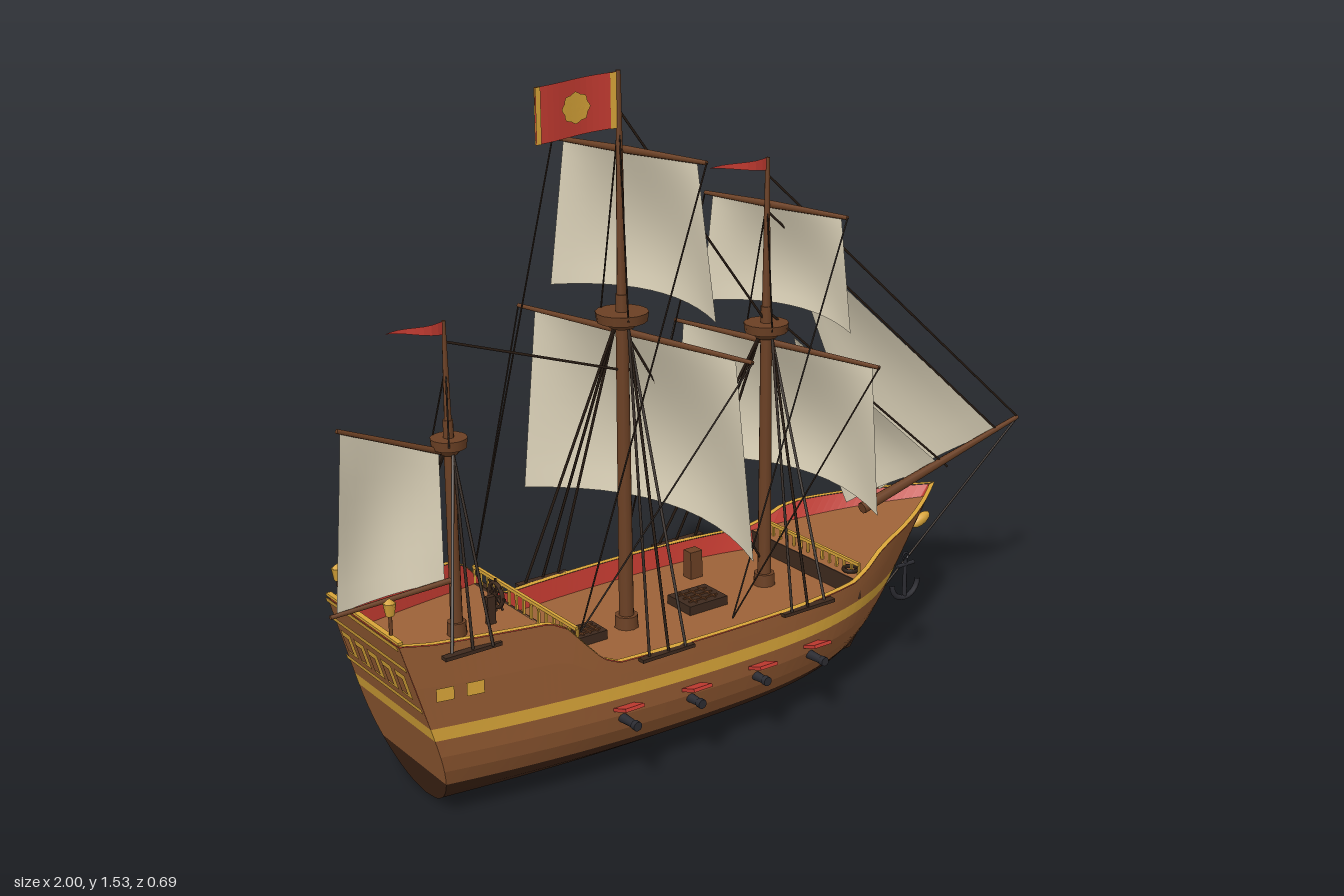
import * as THREE from 'three';

const M = (name, color, side = THREE.FrontSide) => {
  const m = new THREE.MeshStandardMaterial({ color, side });
  m.name = name;
  return m;
};
const V = (x, y, z) => new THREE.Vector3(x, y, z);
const lerp = THREE.MathUtils.lerp;

export function createModel() {
  const ship = new THREE.Group();
  ship.name = 'sailingShip';
  const hullWood = M('hull wood', 0x935a32), keelWood = M('keel wood', 0x3f2415), deckWood = M('deck wood', 0x9c6238),
    gold = M('gold', 0xd6a338, THREE.DoubleSide), red = M('red', 0xc43b31, THREE.DoubleSide),
    canvas = M('canvas', 0xe1d7bd, THREE.DoubleSide), spar = M('spar wood', 0x6b4024),
    darkWood = M('dark wood', 0x3d291d), ropeMat = M('rope', 0x2a1d14), iron = M('iron', 0x2b2b31);

  const add = (name, geo, mat, x = 0, y = 0, z = 0, parent = ship) => {
    const m = new THREE.Mesh(geo, mat);
    m.name = name;
    m.position.set(x, y, z);
    parent.add(m);
    return m;
  };
  const box = (name, w, h, d, mat, x, y, z) => add(name, new THREE.BoxGeometry(w, h, d), mat, x, y, z);
  // Sheet swept by f(u, v): faceted planking, smooth canvas
  const surf = (name, f, nu, nv, mat, flip = false, parent = ship) => {
    const pos = [], idx = [];
    for (let j = 0; j <= nv; j++) for (let i = 0; i <= nu; i++) pos.push(...f(i / nu, j / nv));
    for (let j = 0; j < nv; j++) for (let i = 0; i < nu; i++) {
      const a = j * (nu + 1) + i, b = a + 1, d = a + nu + 1, c = d + 1;
      flip ? idx.push(a, c, b, a, d, c) : idx.push(a, b, c, a, c, d);
    }
    let g = new THREE.BufferGeometry();
    g.setAttribute('position', new THREE.Float32BufferAttribute(pos, 3));
    g.setIndex(idx);
    if (mat !== canvas) g = g.toNonIndexed();
    g.computeVertexNormals();
    return add(name, g, mat, 0, 0, 0, parent);
  };
  // Tapered round bar between two points
  const bar = (name, a, b, r0, r1, mat, sides = 8, parent = ship) => {
    const d = b.clone().sub(a);
    const m = add(name, new THREE.CylinderGeometry(r1, r0, d.length(), sides), mat, 0, 0, 0, parent);
    m.position.copy(a).add(b).multiplyScalar(0.5);
    m.quaternion.setFromUnitVectors(V(0, 1, 0), d.normalize());
    return m;
  };
  const rope = (a, b, r = 0.0028) => bar('rope', a, b, r, r, ropeMat, 5);

  // ---- Hull lines
  const stern = y => -0.8 - 0.29 * y, bow = y => 0.43 + 0.715 * y;
  const sheer = [[-1, 0.455], [-0.86, 0.435], [-0.6, 0.425], [-0.56, 0.405], [-0.52, 0.36], [-0.48, 0.317], [-0.44, 0.3],
    [0.25, 0.3], [0.3, 0.317], [0.35, 0.345], [0.4, 0.358], [0.75, 0.39]];
  const top = x => {
    const k = Math.max(1, sheer.findIndex(p => p[0] >= x)), [a, b] = [sheer[k - 1], sheer[k]];
    return lerp(a[1], b[1], (x - a[0]) / (b[0] - a[0]));
  };
  const beam = u => u < 0.5 ? 0.255 - 0.085 * ((0.5 - u) / 0.5) ** 2 : 0.255 * (1 - ((u - 0.5) / 0.5) ** 2.8);
  const section = y => y < 0.2 ? Math.sqrt(1 - ((0.2 - y) / 0.2) ** 2) : 1 - (y - 0.2) ** 2;
  const xAt = (u, y) => lerp(stern(y), bow(y), u);
  const width = (x, y) => beam(Math.min(1, Math.max(0, (x - stern(y)) / (bow(y) - stern(y))))) * section(y);
  const topAt = u => { let y = 0.35; for (let i = 0; i < 6; i++) y = top(xAt(u, y)); return y; };
  const shell = (u, y, s, inset = 0) => [xAt(u, y), y, s * Math.max(0, beam(u) * section(y) - inset)];

  // ---- Hull planking in colour bands, inner bulwark, cap rail
  const bands = [['bottom', 0, 0.09, keelWood, 5], ['lowerSide', 0.09, 0.215, hullWood, 3], ['stripe', 0.215, 0.245, gold, 1]];
  for (const s of [1, -1]) {
    for (const [n, y0, y1, mat, rows] of bands)
      surf(n, (u, v) => shell(u, y0 + (y1 - y0) * (n === 'bottom' ? v * v : v), s), 48, rows, mat, s < 0);
    surf('upperSide', (u, v) => shell(u, lerp(0.245, topAt(u), v), s), 96, 2, hullWood, s < 0);
    surf('innerBulwark', (u, v) => shell(u, lerp(0.245, topAt(u), v), s, lerp(0.02, 0.01, v)), 96, 1, red, s > 0);
    surf('capRail', (u, v) => { const p = shell(u, topAt(u), s, v * 0.014 - 0.001); p[1] += 0.002; return p; }, 96, 1, gold);
  }
  // ---- Transom, stern windows and trim
  const transom = (name, y0, y1, mat, out = 0, z0 = -1, z1 = 1, rows = 1) => surf(name, (u, v) => {
    const y = lerp(y0, y1, v), w = beam(0) * section(y), full = z0 === -1;
    return [stern(y) - out, y, full ? lerp(-w, w, u) : lerp(z0, z1, u)];
  }, 2, rows, mat);
  for (const [n, y0, y1, mat, rows] of bands) transom(n + 'Stern', y0, y1, mat, 0, -1, 1, rows * 2);
  transom('transom', 0.245, topAt(0), hullWood);
  transom('innerTransom', 0.355, topAt(0), red, -0.01);
  for (const y of [0.285, 0.385, 0.435]) transom('sternTrim', y, y + 0.012, gold, 0.004);
  for (let i = -2; i <= 2; i++) {
    transom('sternWindowFrame', 0.31, 0.37, gold, 0.004, i * 0.06 - 0.023, i * 0.06 + 0.023);
    transom('sternWindowPane', 0.32, 0.36, hullWood, 0.007, i * 0.06 - 0.014, i * 0.06 + 0.014);
  }
  box('sternRail', 0.012, 0.006, 0.32, gold, -0.925, 0.452, 0);

  // ---- Decks, bulkheads, railings, stairs
  for (const [n, x0, x1, y0, y1] of [['quarterDeck', -0.9, -0.535, 0.355, 0.355], ['mainDeck', -0.535, 0.27, 0.25, 0.25],
    ['foreDeck', 0.27, 0.67, 0.295, 0.355]])
    surf(n, (u, v) => {
      const x = lerp(x0, x1, u), y = lerp(y0, y1, u);
      return [x, y, (1 - 2 * v) * Math.max(0, width(x, y) - 0.006)];
    }, 24, 1, deckWood);
  box('quarterBulkhead', 0.008, 0.105, 0.44, darkWood, -0.535, 0.3025, 0);
  box('foreBulkhead', 0.008, 0.045, 0.42, darkWood, 0.27, 0.2725, 0);
  for (const [x, y, w, h] of [[-0.535, 0.355, 0.215, 0.042], [0.285, 0.295, 0.19, 0.032]]) {
    box('railTop', 0.008, 0.008, 2 * w, gold, x, y + h, 0);
    for (let i = 0; i <= 14; i++) box('railPost', 0.005, h, 0.006, gold, x, y + h / 2, lerp(-w, w, i / 14));
  }
  for (const s of [1, -1]) for (let i = 0; i < 5; i++)
    box('stair', 0.014, 0.021 * (5 - i), 0.045, darkWood, -0.523 + i * 0.014, 0.25 + 0.0105 * (5 - i), s * 0.185);

  // ---- Details on both sides
  for (const s of [1, -1]) {
    for (const x of [-0.84, -0.775]) surf('quarterWindow', (u, v) => {
      const px = x + (u - 0.5) * 0.038, y = 0.308 + v * 0.03;
      return [px, y, s * (width(px, y) + 0.004)];
    }, 2, 1, gold);
    for (const x of [-0.435, -0.26, -0.075, 0.095]) {
      const w = width(x, 0.17);
      bar('cannon', V(x, 0.165, s * (w - 0.02)), V(x, 0.167, s * 0.293), 0.012, 0.008, iron, 10);
      bar('cannonMuzzle', V(x, 0.167, s * 0.281), V(x, 0.167, s * 0.294), 0.011, 0.011, iron, 10);
      box('gunPortLid', 0.05, 0.008, 0.05, red, x, 0.2, s * (w + 0.023)).rotation.x = -s * 0.35;
    }
    // Anchor
    const anchor = new THREE.Group();
    anchor.name = 'anchor';
    anchor.position.set(0.458, 0.243, s * 0.166);
    ship.add(anchor);
    bar('anchorShank', V(0, -0.055, 0), V(0, 0.05, 0), 0.006, 0.005, iron, 6, anchor);
    bar('anchorStock', V(-0.028, 0.034, 0), V(0.028, 0.034, 0), 0.005, 0.005, iron, 6, anchor);
    add('anchorArms', new THREE.TorusGeometry(0.042, 0.007, 6, 12, Math.PI), iron, 0, -0.012, 0, anchor).rotation.z = Math.PI;
    add('anchorRing', new THREE.TorusGeometry(0.009, 0.003, 5, 10), iron, 0, 0.056, 0, anchor);
    // Stern lantern
    bar('lanternPost', V(-0.922, 0.44, s * 0.115), V(-0.922, 0.5, s * 0.115), 0.004, 0.004, spar, 6);
    add('lantern', new THREE.CylinderGeometry(0.014, 0.009, 0.028, 6), gold, -0.922, 0.512, s * 0.115);
    add('lanternCap', new THREE.ConeGeometry(0.014, 0.012, 6), gold, -0.922, 0.531, s * 0.115);
  }
  const figure = add('figurehead', new THREE.SphereGeometry(0.018, 10, 8), gold, 0.662, 0.294, 0);
  figure.scale.set(1.8, 0.85, 0.75);
  figure.rotation.z = 0.4;

  // ---- Deck furniture
  for (const [x, w, d] of [[-0.375, 0.08, 0.065], [-0.055, 0.11, 0.09]]) {
    box('hatch', w, 0.022, d, darkWood, x, 0.261, 0);
    for (let i = 1; i < 4; i++) {
      box('hatchGrate', 0.004, 0.003, d * 0.75, spar, x - w / 2 + w * i / 4, 0.2735, 0);
      box('hatchGrate', w * 0.75, 0.003, 0.004, spar, x, 0.2735, -d / 2 + d * i / 4);
    }
  }
  add('capstan', new THREE.CylinderGeometry(0.026, 0.02, 0.05, 10), spar, -0.478, 0.275, 0);
  for (const z of [-0.115, -0.085]) add('barrel', new THREE.CylinderGeometry(0.015, 0.015, 0.04, 10), spar, -0.495, 0.27, z);
  add('ropeCoil', new THREE.TorusGeometry(0.018, 0.005, 6, 14), ropeMat, 0.29, 0.304, 0.155).rotation.x = Math.PI / 2;
  box('bittBlock', 0.035, 0.07, 0.03, spar, 0.035, 0.285, -0.14);
  const wheel = add('steeringWheel', new THREE.TorusGeometry(0.028, 0.005, 6, 16), darkWood, -0.605, 0.42, 0);
  wheel.rotation.y = Math.PI / 2;
  for (let i = 0; i < 4; i++)
    add('wheelSpoke', new THREE.BoxGeometry(0.004, 0.078, 0.004), darkWood, 0, 0, 0, wheel).rotation.z = i * Math.PI / 4;
  box('wheelStand', 0.02, 0.065, 0.012, darkWood, -0.62, 0.388, 0);

  // ---- Masts with lookout tops, shrouds and channels
  const mast = (x, y0, y1, nest, r, nr, feet, footY) => {
    bar('lowerMast', V(x, y0, 0), V(x, nest + 0.05, 0), r, r * 0.8, spar, 10);
    bar('upperMast', V(x, nest, 0), V(x, y1, 0), r * 0.65, r * 0.3, spar, 8);
    add('mastCollar', new THREE.CylinderGeometry(r * 1.5, r * 1.6, 0.03, 10), spar, x, y0 + 0.015, 0);
    add('lookoutBase', new THREE.CylinderGeometry(nr * 0.75, nr * 0.45, 0.016, 14), spar, x, nest - 0.018, 0);
    add('lookoutTop', new THREE.CylinderGeometry(nr, nr * 0.95, 0.022, 14), spar, x, nest, 0);
    for (const s of [1, -1]) {
      for (const fx of feet) rope(V(x, nest - 0.02, s * nr * 0.4), V(fx, footY, s * (width(fx, footY) + 0.011)), 0.0035);
      rope(V(x, y1 - 0.1, 0), V(x - 0.02, nest, s * nr * 0.9), 0.002);
      const cx = (feet[0] + feet[2]) / 2;
      box('channel', feet[2] - feet[0] + 0.045, 0.008, 0.018, darkWood, cx, footY, s * (width(cx, footY) + 0.008));
    }
  };
  mast(-0.26, 0.25, 1.535, 0.995, 0.018, 0.06, [-0.375, -0.325, -0.28], 0.298);
  mast(0.147, 0.25, 1.3, 0.9, 0.017, 0.053, [0.02, 0.07, 0.125], 0.298);
  mast(-0.705, 0.355, 1.06, 0.795, 0.014, 0.04, [-0.825, -0.78, -0.735], 0.41);

  // ---- Braced yards with square sails; [mast x, yard y, foot y, yard, head and foot half widths, belly, brace foot]
  const brace = 0.215;
  for (const [x, y, yb, hy, ht, hb, belly, bx, by] of [
    [-0.24, 0.953, 0.5, 0.353, 0.303, 0.355, 0.118, -0.53, 0.39], [-0.24, 1.362, 1.02, 0.226, 0.197, 0.248, 0.072, -0.53, 0.39],
    [0.168, 0.857, 0.5, 0.307, 0.285, 0.31, 0.1, -0.12, 0.31], [0.168, 1.187, 0.92, 0.21, 0.19, 0.222, 0.062, -0.12, 0.31]]) {
    const rig = new THREE.Group();
    rig.name = 'squareRig';
    rig.position.set(x, 0, 0);
    rig.rotation.y = brace;
    ship.add(rig);
    for (const s of [1, -1]) {
      bar('yard', V(0, y, 0), V(0, y, s * hy), 0.009, 0.005, spar, 8, rig);
      rope(V(x + s * Math.sin(brace) * hy, y, s * Math.cos(brace) * hy), V(bx, by, s * 0.22), 0.002);
    }
    // Leeches hang straight down, the foot swells forward
    surf('squareSail', (u, v) => {
      const k = 2 * u - 1, c = 1 - k * k;
      return [0.004 + belly * Math.sin(v * 1.9) * c, lerp(y - 0.006, yb, v) + 0.015 * c * v, k * lerp(ht, hb, v)];
    }, 12, 10, canvas, false, rig);
  }

  // ---- Bowsprit, headsails, spanker
  bar('bowsprit', V(0.46, 0.372, 0), V(1, 0.505, 0), 0.015, 0.006, spar, 8);
  for (const [h, t, c] of [[V(0.2, 1.12, 0), V(0.925, 0.483, 0), V(0.56, 0.385, -0.04)], [V(0.23, 0.86, 0), V(0.73, 0.425, 0), V(0.45, 0.375, -0.04)]])
    surf('headsail', (u, v) => {
      const p = h.clone().lerp(t.clone().lerp(c, u), v);
      return [p.x, p.y, p.z - 0.045 * Math.sin(Math.PI * u * 0.85) * Math.sin(Math.PI * v * 0.85)];
    }, 8, 12, canvas);
  bar('boom', V(-0.705, 0.483, 0), V(-1, 0.473, 0), 0.007, 0.005, spar);
  bar('gaff', V(-0.705, 0.77, 0), V(-0.96, 0.872, 0), 0.007, 0.005, spar);
  surf('spanker', (u, v) => [lerp(-0.73, lerp(-0.985, -0.953, v), u), lerp(lerp(0.484, 0.476, u), lerp(0.775, 0.865, u), v),
    -0.035 * Math.sin(Math.PI * u) * (0.4 + 0.6 * Math.sin(Math.PI * v))], 10, 8, canvas);

  // ---- Stays
  for (const [ax, ay, bx, by] of [[0.147, 1.26, 1, 0.505], [0.147, 1.175, 0.93, 0.48], [0.147, 0.94, 0.75, 0.42], [1, 0.503, 0.545, 0.14],
    [-0.26, 1.45, 0.147, 0.91], [-0.26, 0.97, 0.147, 0.3], [-0.705, 1.015, -0.26, 0.87]])
    rope(V(ax, ay, 0), V(bx, by, 0), 0.003);

  // ---- Flag with gold edges and scalloped disc, pennants
  const wave = x => 0.008 * Math.sin((x + 0.26) * 24);
  const cloth = (name, x0, x1, n, mat, off = 0) => surf(name, (u, v) => {
    const x = lerp(x0, x1, u);
    return [x, lerp(1.412, 1.532, v) + (x + 0.26) * 0.06, wave(x) + off];
  }, n, 1, mat);
  cloth('flag', -0.474, -0.26, 14, red);
  for (const off of [0.003, -0.003]) {
    cloth('flagEdge', -0.474, -0.462, 1, gold, off);
    cloth('flagEdge', -0.28, -0.266, 1, gold, off);
    surf('flagDisc', (u, v) => {
      const a = u * Math.PI * 2, r = v * (1 + 0.07 * Math.cos(a * 8)), x = -0.368 + 0.037 * r * Math.cos(a);
      return [x, 1.465 + 0.032 * r * Math.sin(a), wave(x) + off];
    }, 32, 3, gold);
  }
  for (const [x, y, len] of [[0.147, 1.285, 0.165], [-0.705, 1.045, 0.135]])
    surf('pennant', (u, v) => [x - len * u, y + 0.008 * u + (v - 0.5) * 0.03 * (1 - u), 0.01 * Math.sin(u * 6)], 8, 1, red);

  return ship;
}
